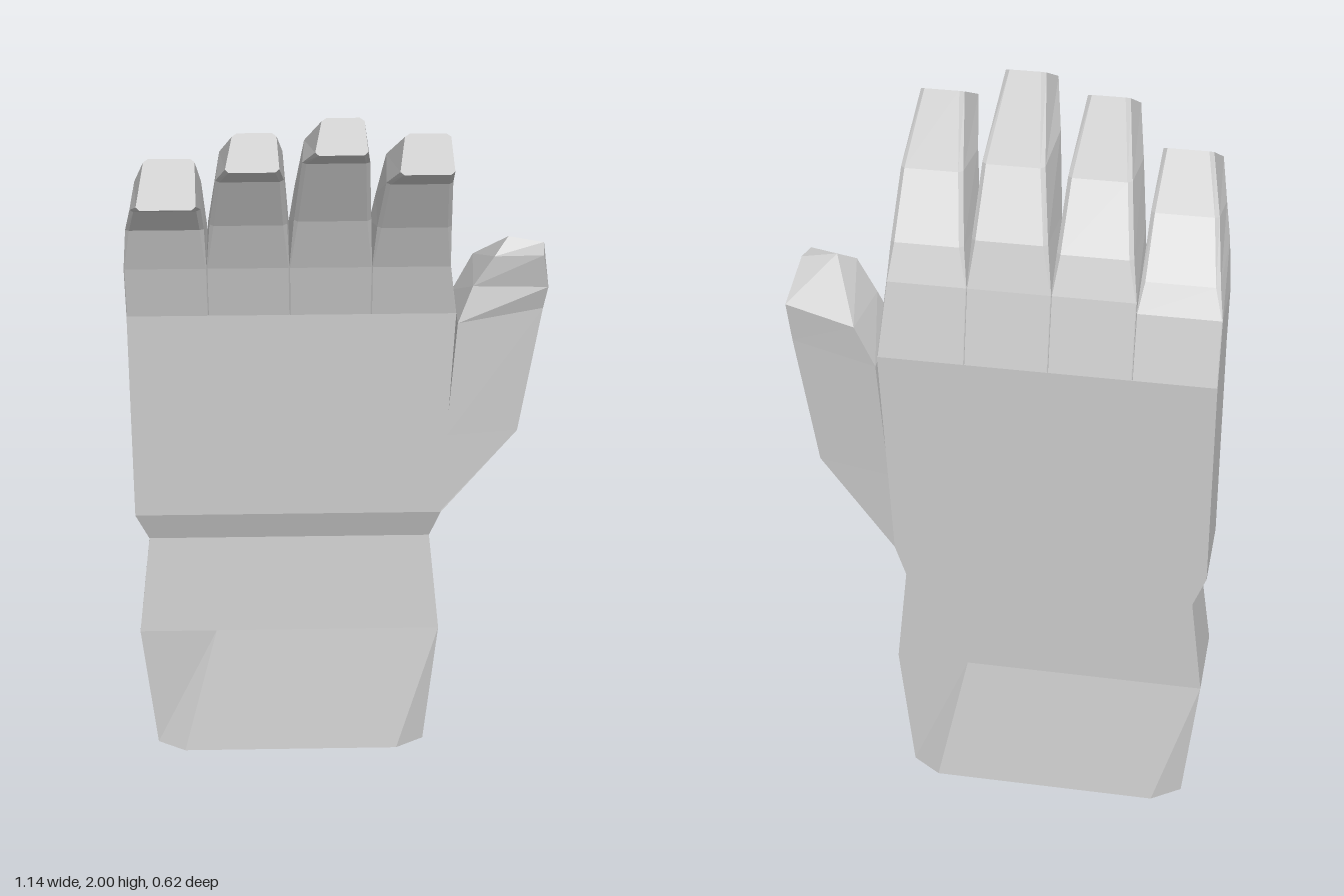
import * as THREE from 'three';

const material = new THREE.MeshStandardMaterial({ color: 0xcccccc, flatShading: true });

// Faceted solid through rings of [x, y, z] points, ordered front-left, front-right, back-right, back-left
function loft(name, rings) {
  const out = [];
  const tri = (a, b, c) => out.push(...a, ...b, ...c);
  const n = rings[0].length;
  for (let k = 0; k + 1 < rings.length; k++) {
    const lo = rings[k], hi = rings[k + 1];
    for (let i = 0; i < n; i++) {
      const j = (i + 1) % n;
      tri(lo[i], lo[j], hi[j]);
      tri(lo[i], hi[j], hi[i]);
    }
  }
  const bottom = rings[0], top = rings[rings.length - 1];
  for (let i = 1; i + 1 < n; i++) {
    tri(bottom[0], bottom[i + 1], bottom[i]);
    tri(top[0], top[i], top[i + 1]);
  }
  const geometry = new THREE.BufferGeometry();
  geometry.setAttribute('position', new THREE.Float32BufferAttribute(out, 3));
  geometry.computeVertexNormals();
  const mesh = new THREE.Mesh(geometry, material);
  mesh.name = name;
  return mesh;
}

// Cut every corner of a ring by a small distance
function bevel(ring, size) {
  const n = ring.length;
  const toward = (p, q) => {
    const a = new THREE.Vector3(...p), b = new THREE.Vector3(...q);
    return a.add(b.sub(a).setLength(size)).toArray();
  };
  return ring.flatMap((p, i) => [toward(p, ring[(i + n - 1) % n]), toward(p, ring[(i + 1) % n])]);
}

// Cuff and palm: y, outer x pair, inner x pair, side z (front, back), middle z (front, back)
function createPalm() {
  const sections = [
    [0, -0.53, 0.25, -0.45, 0.17, -0.02, -0.255, 0.03, -0.31],
    [0.38, -0.57, 0.29, -0.35, 0.09, -0.02, -0.255, -0.02, -0.255],
    [0.67, -0.535, 0.26, -0.35, 0.09, -0.05, -0.255, -0.05, -0.255],
    [0.76, -0.57, 0.29, -0.35, 0.09, -0.02, -0.255, -0.02, -0.255],
    [1.37, -0.57, 0.32, -0.35, 0.09, -0.02, -0.255, -0.02, -0.255],
  ];
  return loft('palmAndCuff', sections.map(([y, l, r, il, ir, sf, sb, mf, mb]) => [
    [l, y, sf], [il, y, mf], [ir, y, mf], [r, y, sf],
    [r, y, sb], [ir, y, mb], [il, y, mb], [l, y, sb],
  ]));
}

// Finger: base x pair, taper on each side, then [z, y] points along the palm side and the back
function createFinger({ name, x, taper, front, back, rootRight = x[1] }) {
  const frontTaper = [0, 0, 0.15, 0.4, 0.75];
  const backTaper = [0, 0, 0.2, 0.5, 1];
  const rings = front.map(([zf, yf], k) => {
    const [zb, yb] = back[k];
    const right = k === 0 ? rootRight : x[1];
    const f = frontTaper[k], b = backTaper[k];
    const ring = [
      [x[0] + taper[0] * f, yf, zf], [right - taper[1] * f, yf, zf],
      [right - taper[1] * b, yb, zb], [x[0] + taper[0] * b, yb, zb],
    ];
    return bevel(ring, k < 2 ? 0.002 : 0.011);
  });
  return loft(name, rings);
}

// Thumb: each ring runs front inner, front outer, back outer, back inner
function createThumb() {
  return loft('thumb', [
    [[0.285, 0.76, -0.02], [0.29, 0.76, -0.02], [0.29, 0.76, -0.255], [0.285, 0.76, -0.255]],
    [[0.30, 1.0, -0.02], [0.50, 1.0, -0.05], [0.50, 1.0, -0.21], [0.30, 1.0, -0.255]],
    [[0.325, 1.34, -0.02], [0.558, 1.37, -0.05], [0.558, 1.37, -0.21], [0.325, 1.34, -0.255]],
    [[0.365, 1.44, -0.04], [0.568, 1.44, -0.03], [0.57, 1.48, -0.215], [0.38, 1.45, -0.25]],
    [[0.42, 1.53, -0.03], [0.55, 1.54, -0.01], [0.557, 1.55, -0.08], [0.46, 1.568, -0.08]],
  ]);
}

export function createModel() {
  const group = new THREE.Group();
  group.name = 'hand';
  group.add(createPalm(), createThumb());

  const rootFront = [[-0.02, 1.37], [0.012, 1.52]];
  const rootBack = [[-0.255, 1.37], [-0.205, 1.57]];
  const fingers = [
    { name: 'indexFinger', x: [0.09, 0.30], rootRight: 0.32, taper: [0.075, 0.02],
      front: [...rootFront, [0.06, 1.65], [0.14, 1.80], [0.29, 1.88]],
      back: [...rootBack, [-0.165, 1.665], [-0.05, 1.82], [0.165, 1.945]] },
    { name: 'middleFinger', x: [-0.13, 0.09], taper: [0.085, 0.03],
      front: [...rootFront, [0.06, 1.67], [0.16, 1.865], [0.31, 1.94]],
      back: [...rootBack, [-0.165, 1.69], [-0.06, 1.855], [0.2, 2.0]] },
    { name: 'ringFinger', x: [-0.35, -0.13], taper: [0.08, 0.03],
      front: [...rootFront, [0.06, 1.66], [0.14, 1.81], [0.29, 1.89]],
      back: [...rootBack, [-0.165, 1.67], [-0.05, 1.83], [0.18, 1.955]] },
    { name: 'littleFinger', x: [-0.57, -0.35], taper: [0.07, 0.02],
      front: [...rootFront, [0.05, 1.645], [0.11, 1.72], [0.245, 1.775]],
      back: [rootBack[0], [-0.205, 1.54], [-0.16, 1.61], [-0.05, 1.75], [0.1, 1.86]] },
  ];
  fingers.forEach((finger) => group.add(createFinger(finger)));
  return group;
}
